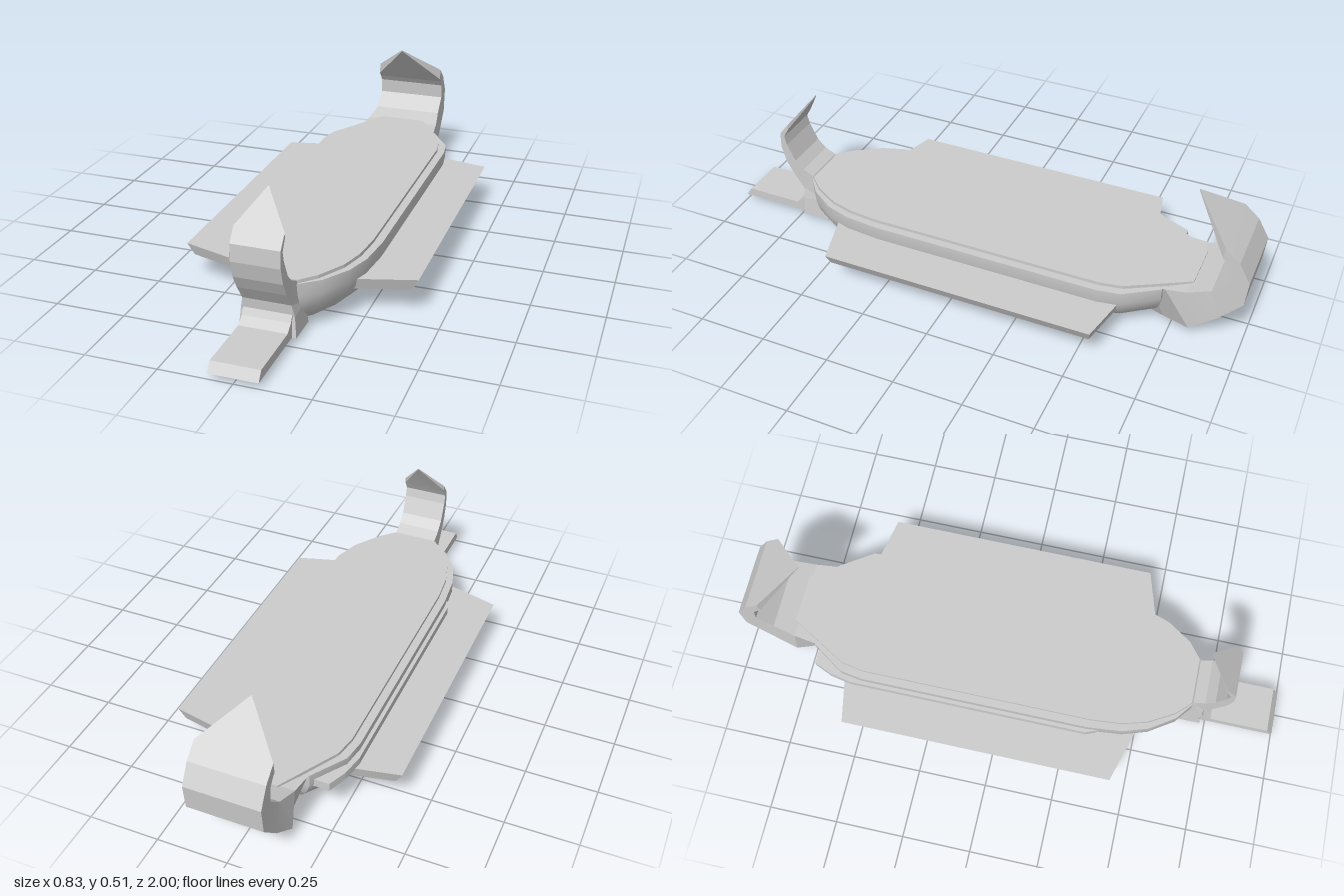
import * as THREE from 'three';
import { toCreasedNormals } from 'three/addons/utils/BufferGeometryUtils.js';

const material = new THREE.MeshStandardMaterial({ color: 0xcccccc });

// Skin closed rings of [x, y, z] points, cap both ends and face everything outward.
function loft(name, rings, crease = 0.1) {
  const n = rings[0].length;
  const points = rings.flat();
  const index = [];
  for (let r = 0; r < rings.length - 1; r++) {
    for (let i = 0; i < n; i++) {
      const a = r * n + i, b = r * n + (i + 1) % n;
      index.push(a, b, b + n, a, b + n, a + n);
    }
  }
  const last = (rings.length - 1) * n;
  for (let i = 1; i < n - 1; i++) {
    index.push(0, i + 1, i, last, last + i, last + i + 1);
  }
  // signed volume tells whether the winding must be reversed
  const v = points.map((p) => new THREE.Vector3(...p));
  let volume = 0;
  for (let i = 0; i < index.length; i += 3) {
    volume += v[index[i]].dot(v[index[i + 1]].clone().cross(v[index[i + 2]]));
  }
  if (volume < 0) index.reverse();
  const geometry = new THREE.BufferGeometry().setFromPoints(v);
  geometry.setIndex(index);
  const mesh = new THREE.Mesh(toCreasedNormals(geometry, crease), material);
  mesh.name = name;
  return mesh;
}

// Mirror a half outline of [x, z] pairs into a closed ring at height y.
function outlineRing(half, y) {
  const right = half.map(([x, z]) => [x, y, z]);
  const left = half.map(([x, z]) => [-x, y, z]).reverse();
  return [...right, ...left];
}

// Curved horn: each section is [outer z, outer y, inner z, inner y, outer half width, inner half width].
function horn(name, sections) {
  return loft(name, sections.map(([oz, oy, iz, iy, wo, wi = wo]) => [
    [wo, oy, oz], [-wo, oy, oz], [-wi, iy, iz], [wi, iy, iz],
  ]));
}

export function createModel() {
  const model = new THREE.Group();
  model.name = 'boat';

  // Hull: blend the flat bottom outline into the wider rim outline
  const rim = [[0.08, 0.685], [0.15, 0.63], [0.21, 0.54], [0.24, 0.45], [0.253, 0.32],
    [0.253, -0.52], [0.24, -0.6], [0.16, -0.72]];
  const bottom = [[0.05, 0.57], [0.08, 0.54], [0.12, 0.46], [0.145, 0.38], [0.155, 0.3],
    [0.155, -0.45], [0.12, -0.56], [0.05, -0.6]];
  const levels = [[0, 0, 0], [0.03, 0.34, 0.55], [0.06, 0.62, 0.8], [0.1, 0.86, 0.94],
    [0.14, 0.99, 1], [0.186, 1, 1]]; // y, x blend, z blend
  model.add(loft('hull', levels.map(([y, fx, fz]) => outlineRing(rim.map(([x, z], i) => [
    THREE.MathUtils.lerp(bottom[i][0], x, fx), THREE.MathUtils.lerp(bottom[i][1], z, fz),
  ]), y)), 0.6));

  // Raised deck
  const deck = [[0.085, 0.675], [0.135, 0.625], [0.19, 0.53], [0.215, 0.44], [0.225, 0.33],
    [0.225, -0.52], [0.21, -0.6], [0.09, -0.81]];
  model.add(loft('deck', [outlineRing(deck, 0.18), outlineRing(deck, 0.198)]));

  // Stern: broad horn curling forward to a point
  model.add(horn('sternHorn', [
    [-0.6, 0.002, -0.68, 0.186, 0.04, 0.16],
    [-0.72, 0.02, -0.73, 0.186, 0.1, 0.156],
    [-0.82, 0.036, -0.8, 0.19, 0.143, 0.147],
    [-0.914, 0.107, -0.88, 0.214, 0.134],
    [-0.99, 0.19, -0.936, 0.267, 0.133],
    [-0.998, 0.285, -0.932, 0.322, 0.133],
    [-0.957, 0.355, -0.915, 0.345, 0.133],
    [-0.905, 0.4, -0.9, 0.36, 0.133],
    [-0.77, 0.512, -0.77, 0.508, 0.001],
  ]));

  // Bow: slimmer horn curling back to a point
  model.add(horn('bowHorn', [
    [0.73, 0.02, 0.62, 0.02, 0.098],
    [0.722, 0.09, 0.63, 0.1, 0.092],
    [0.727, 0.134, 0.68, 0.198, 0.083],
    [0.765, 0.19, 0.72, 0.218, 0.083],
    [0.792, 0.24, 0.752, 0.25, 0.083],
    [0.808, 0.3, 0.782, 0.315, 0.083],
    [0.806, 0.36, 0.79, 0.35, 0.083],
    [0.77, 0.405, 0.77, 0.385, 0.083],
    [0.685, 0.512, 0.685, 0.508, 0.001],
  ]));

  // Ram: flat plate reaching forward at the waterline
  const ramProfile = [[0.64, 0.02], [1, 0.02], [0.978, 0.053], [0.765, 0.053], [0.735, 0.075],
    [0.722, 0.1], [0.64, 0.1]];
  model.add(loft('ram', [-0.083, 0.083].map((x) => ramProfile.map(([z, y]) => [x, y, z]))));

  // Oar boards on both sides, with slanted edges and tapered ends
  for (const [name, s] of [['leftOarBoard', 1], ['rightOarBoard', -1]]) {
    const board = (y, inner, outer, trim) => [
      [s * inner, y, 0.505 - trim], [s * outer, y, 0.44 - trim],
      [s * outer, y, -0.555 + trim], [s * inner, y, -0.6 + trim],
    ];
    model.add(loft(name, [board(0.09, 0.17, 0.39, 0.008), board(0.133, 0.19, 0.413, 0)]));
  }

  // Rubbing strake along the right side, bending in at the stern
  const strake = [[-0.2, 0.36], [-0.25, 0.36], [-0.266, 0.32], [-0.266, -0.56], [-0.25, -0.64],
    [-0.222, -0.705], [-0.15, -0.705], [-0.15, -0.6]];
  model.add(loft('rightStrake', [0.13, 0.16].map((y) => strake.map(([x, z]) => [x, y, z]))));

  return model;
}
